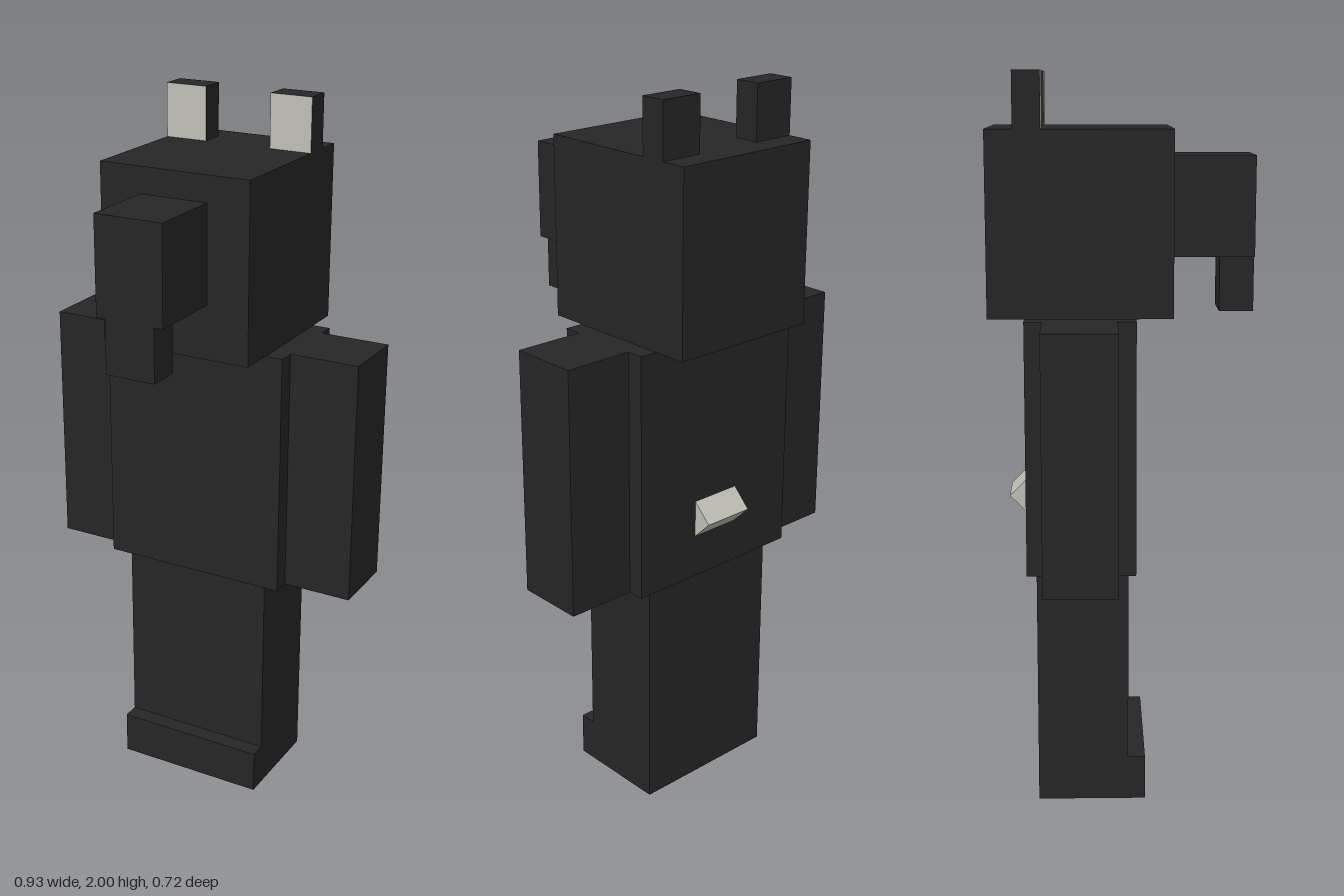
import * as THREE from 'three';

export function createModel() {
  const model = new THREE.Group();
  const dark = new THREE.MeshStandardMaterial({ color: 0x262626 });
  dark.name = 'charcoal';
  const pale = new THREE.MeshStandardMaterial({ color: 0xc0c0b6 });
  pale.name = 'pale grey';

  // Box given by its extents on each axis
  function block(name, [x0, x1], [y0, y1], [z0, z1], material = dark) {
    const mesh = new THREE.Mesh(new THREE.BoxGeometry(x1 - x0, y1 - y0, z1 - z0), material);
    mesh.position.set((x0 + x1) / 2, (y0 + y1) / 2, (z0 + z1) / 2);
    mesh.name = name;
    model.add(mesh);
    return mesh;
  }

  // Legs and feet
  block('legs', [-0.22, 0.22], [0, 0.67], [-0.235, 0.015]);
  block('feet', [-0.22, 0.22], [0, 0.125], [0.015, 0.062]);

  // Body and head
  block('torso', [-0.27, 0.27], [0.67, 1.36], [-0.26, 0.035]);
  block('head', [-0.22, 0.22], [1.36, 1.852], [-0.358, 0.134]);
  block('snout', [-0.098, 0.098], [1.51, 1.78], [0.134, 0.358]);
  block('snoutTip', [-0.072, 0.072], [1.36, 1.51], [0.265, 0.358]);

  // Arms and ears; only the ear fronts are pale
  const earMaterials = [dark, dark, dark, dark, pale, dark];
  for (const [side, s] of [['left', 1], ['right', -1]]) {
    const span = (a, b) => (s > 0 ? [a, b] : [-b, -a]);
    block(side + 'Arm', span(0.27, 0.467), [0.67, 1.36], [-0.212, -0.015]);
    block(side + 'Ear', span(0.098, 0.22), [1.852, 2], [-0.285, -0.212], earMaterials);
  }

  // Stubby tail: a square bar turned on edge, half sunk in the back
  const tail = block('tail', [-0.075, 0.075], [0.807, 0.881], [-0.297, -0.223], pale);
  tail.rotation.x = Math.PI / 4;

  return model;
}
